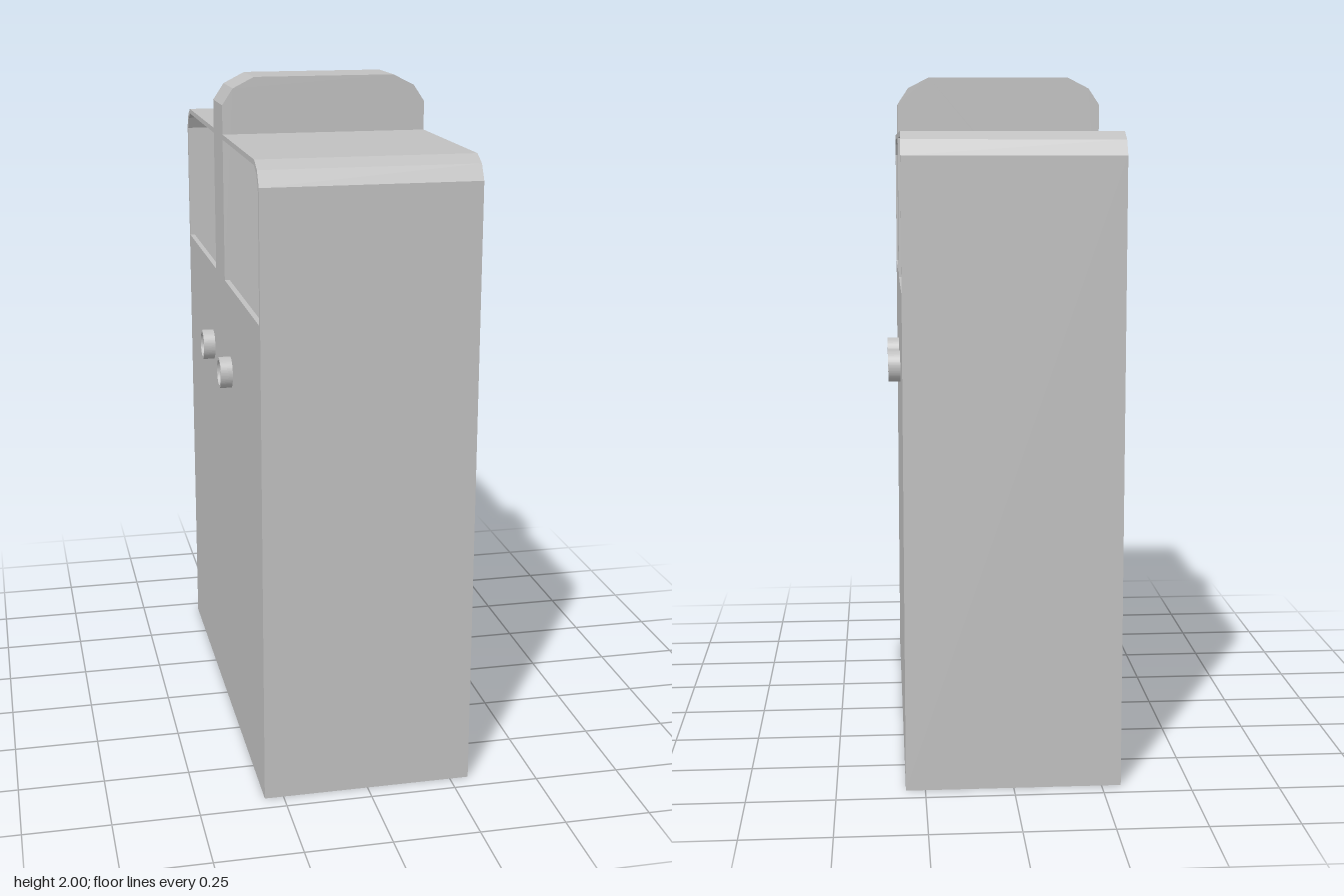
import * as THREE from 'three';

const HALF_X = 0.305, HALF_Z = 0.697, WALL = 0.015, OPEN_Y = 1.4;

const polygon = (pts) => new THREE.Shape(pts.map(([a, b]) => new THREE.Vector2(a, b)));

// Extrude an outline symmetrically about its own plane
function slab(shape, depth) {
  const geo = new THREE.ExtrudeGeometry(shape, { depth, bevelEnabled: false, curveSegments: 32 });
  return geo.translate(0, 0, -depth / 2);
}

// Right half of an outline mirrored into a closed counter-clockwise loop
const mirrored = (half) => [...half, ...half.map(([a, b]) => [-a, b]).reverse()];

export function createModel() {
  const model = new THREE.Group();
  const grey = new THREE.MeshStandardMaterial({ color: 0xc0c0c0 });
  grey.name = 'light grey';

  const add = (name, geo) => {
    const mesh = new THREE.Mesh(geo, grey);
    mesh.name = name;
    model.add(mesh);
    return mesh;
  };

  // Closed band: bottom, end walls and chamfered top
  const band = polygon(mirrored([
    [HALF_Z, 0], [HALF_Z, 1.77], [0.672, 1.813], [0.63, 1.835],
  ]));
  band.holes.push(polygon(mirrored([
    [HALF_Z - WALL, WALL], [HALF_Z - WALL, 1.766], [0.661, 1.802], [0.626, 1.82],
  ])));
  add('outerBand', slab(band, HALF_X * 2).rotateY(-Math.PI / 2));

  // Central divider, widening above the side walls into the top grip
  const inner = HALF_X - WALL;
  add('centreGrip', slab(polygon(mirrored([
    [inner, WALL], [inner, OPEN_Y], [HALF_X, OPEN_Y],
    [HALF_X, 1.92], [0.273, 1.968], [0.21, 2.0],
  ])), 0.174));

  // Hollow studs, slightly taller than wide
  const ring = new THREE.Shape().absellipse(0, 0, 0.042, 0.047, 0, Math.PI * 2);
  ring.holes.push(new THREE.Path().absellipse(0, 0, 0.034, 0.038, 0, Math.PI * 2));
  const studGeo = slab(ring, 0.036).rotateY(Math.PI / 2);

  for (const side of [1, -1]) {
    const label = side > 0 ? 'left' : 'right';

    // Side wall up to the openings
    const height = OPEN_Y - WALL;
    const wall = add(label + 'SideWall', new THREE.BoxGeometry(WALL, height, (HALF_Z - WALL) * 2));
    wall.position.set(side * (HALF_X - WALL / 2), WALL + height / 2, 0);

    for (const end of [1, -1]) {
      const stud = add(label + (end > 0 ? 'Front' : 'Back') + 'Stud', studGeo);
      stud.position.set(side * (HALF_X + 0.018), 1.138, end * 0.175);
    }
  }
  return model;
}
